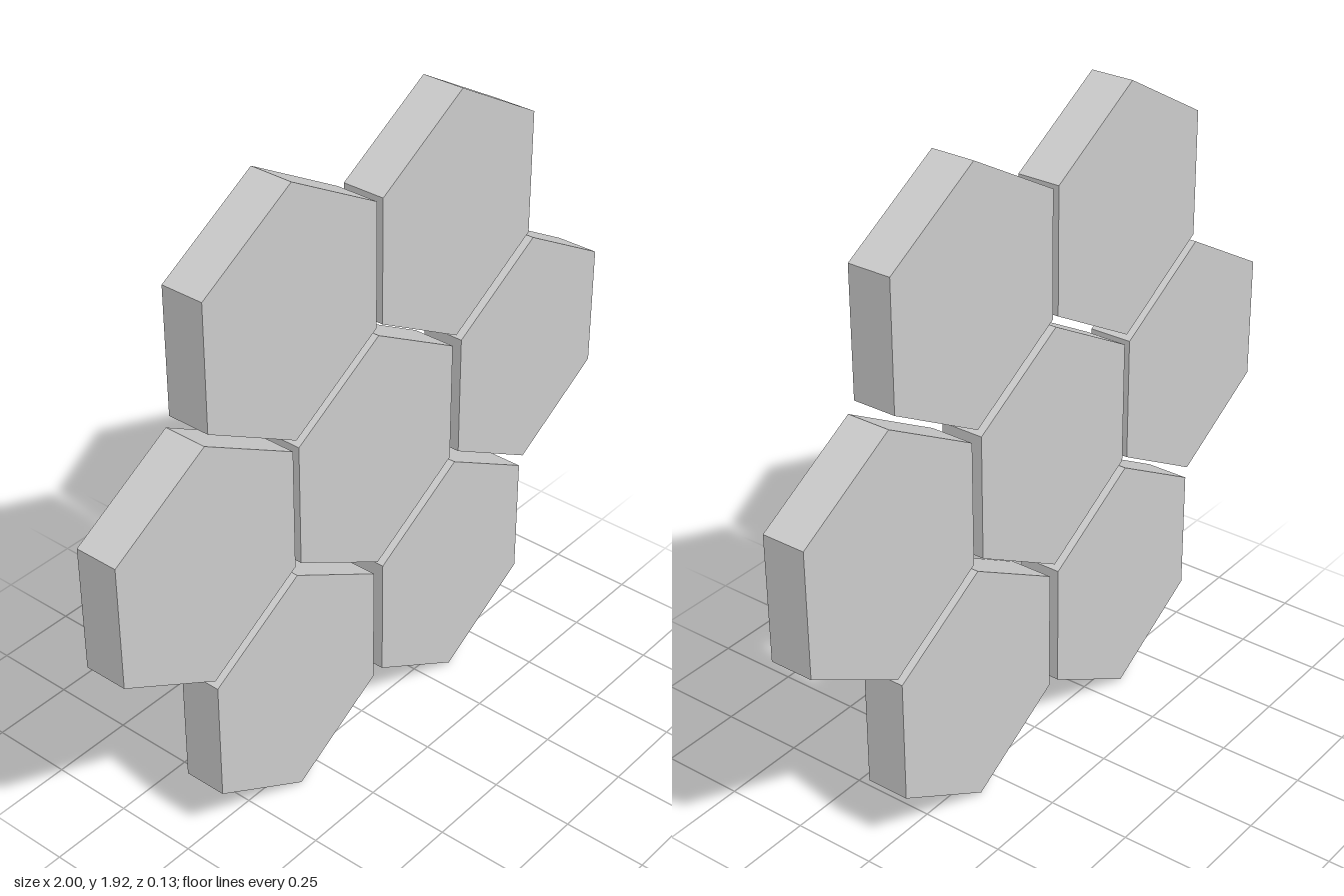
import * as THREE from 'three';

const RADIUS = 0.373;
const DEPTH = 0.13;

// Tile centres in the xy plane, slightly uneven like hand-placed panels
const TILES = [
  ['upperRightTile', -0.34, 1.552],
  ['upperLeftTile', 0.33, 1.552],
  ['middleRightTile', -0.677, 0.965],
  ['centreTile', -0.008, 0.965],
  ['middleLeftTile', 0.677, 0.965],
  ['lowerRightTile', -0.347, 0.373],
  ['lowerLeftTile', 0.338, 0.377],
];

export function createModel() {
  const group = new THREE.Group();
  group.name = 'hexagonPanels';
  const material = new THREE.MeshStandardMaterial({ color: 0xcccccc, flatShading: true });

  // Pointy-top hexagonal prism, flat faces towards front and back
  const hexagon = new THREE.CylinderGeometry(RADIUS, RADIUS, DEPTH, 6);
  hexagon.rotateX(Math.PI / 2);

  for (const [name, x, y] of TILES) {
    const tile = new THREE.Mesh(hexagon, material);
    tile.name = name;
    tile.position.set(x, y, 0);
    group.add(tile);
  }
  return group;
}
